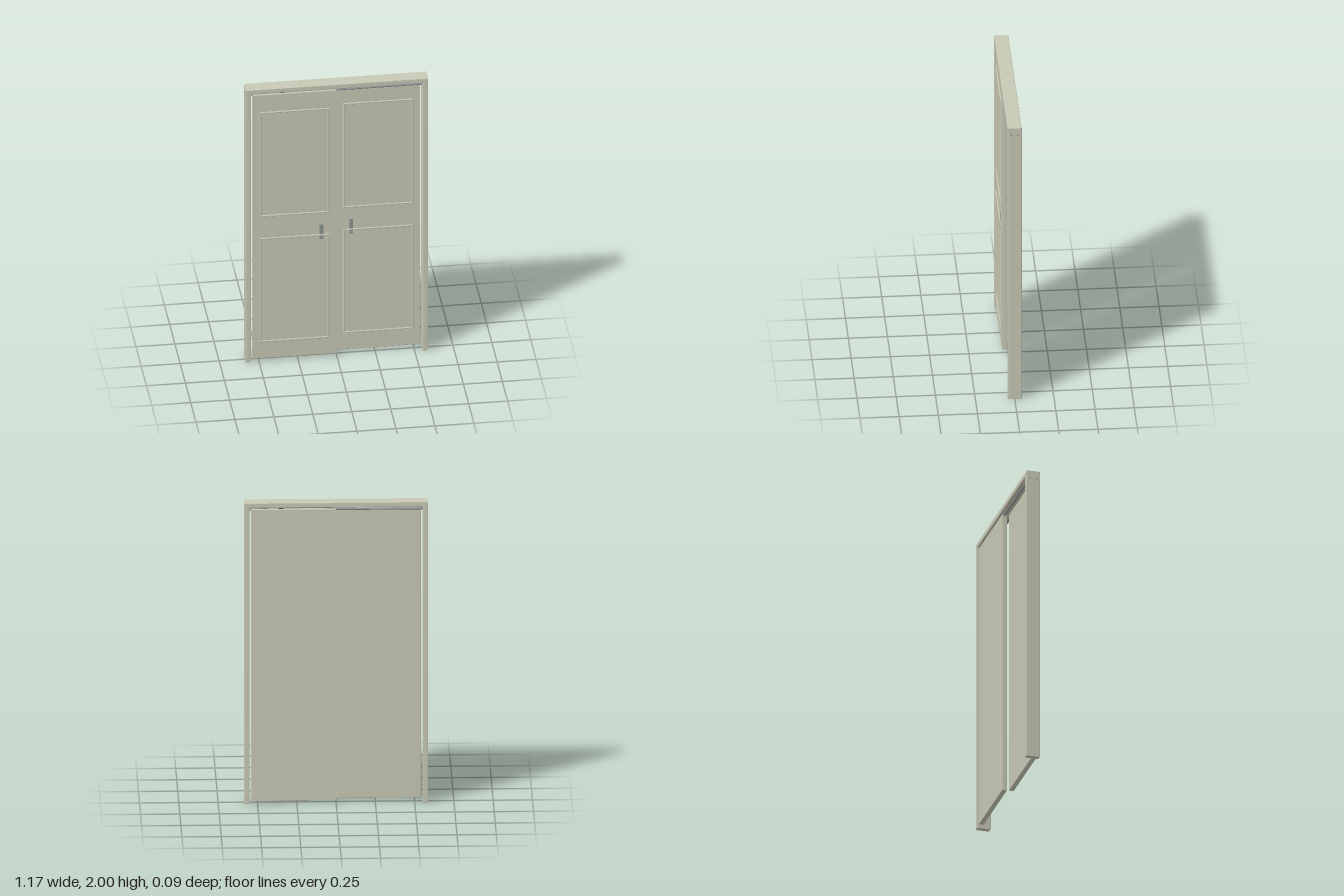
import * as THREE from 'three';
import { RoundedBoxGeometry } from 'three/addons/geometries/RoundedBoxGeometry.js';

const paint = new THREE.MeshStandardMaterial({ name: 'paint', color: 0xc8c8b5 });
const steel = new THREE.MeshStandardMaterial({ name: 'steel', color: 0x8b9292 });
const dark = new THREE.MeshStandardMaterial({ name: 'darkMetal', color: 0x4c5052 });

function add(parent, name, geometry, material, x = 0, y = 0, z = 0) {
  const mesh = new THREE.Mesh(geometry, material);
  mesh.name = name;
  mesh.position.set(x, y, z);
  parent.add(mesh);
  return mesh;
}

const box = (w, h, d) => new THREE.BoxGeometry(w, h, d);

function rectangle(target, x0, y0, x1, y1) {
  target.moveTo(x0, y0);
  target.lineTo(x1, y0);
  target.lineTo(x1, y1);
  target.lineTo(x0, y1);
  target.closePath();
  return target;
}

// Raised rectangular border with a bevelled front edge
function mouldingGeometry(w, h) {
  const t = 0.012, b = 0.003;
  const shape = rectangle(new THREE.Shape(), -w / 2 + b, -h / 2 + b, w / 2 - b, h / 2 - b);
  shape.holes.push(rectangle(new THREE.Path(),
    -w / 2 + t - b, -h / 2 + t - b, w / 2 - t + b, h / 2 - t + b));
  return new THREE.ExtrudeGeometry(shape, {
    depth: 0.003, bevelEnabled: true, bevelThickness: b, bevelSize: b, bevelSegments: 1,
  });
}

// One sliding leaf; side is -1 or +1 in x, z is the centre of its track
function createDoor(side, z, height) {
  const door = new THREE.Group();
  door.name = side < 0 ? 'rightDoor' : 'leftDoor';
  const bottom = 0.02, thick = 0.032, face = thick / 2;
  const width = 0.541;
  add(door, 'doorLeaf', new RoundedBoxGeometry(width, height, thick, 2, 0.003), paint,
    side * width / 2, bottom + height / 2, 0);

  // Upper and lower panel borders
  for (const [y0, y1] of [[0.14, 0.905], [1.06, 1.83]]) {
    add(door, 'panelMoulding', mouldingGeometry(0.45, y1 - y0), paint,
      side * 0.272, (y0 + y1) / 2, face);
  }

  // Flush pull plate with a small catch at its foot
  add(door, 'handlePlate', box(0.023, 0.105, 0.006), steel, side * 0.098, 0.923, face);
  add(door, 'handleCatch', box(0.023, 0.014, 0.014), steel, side * 0.098, 0.88, face);

  // Roller carriage above the leaf
  add(door, 'roller', box(0.03, 0.02, 0.012), dark, side * 0.35, 1.957, 0);
  door.position.z = z;
  return door;
}

export function createModel() {
  const model = new THREE.Group();
  model.name = 'slidingDoors';

  // Surrounding frame, open at the floor
  const frame = new THREE.Group();
  frame.name = 'frame';
  const b = 0.004, outer = 0.585 - b, inner = 0.55 + b;
  const outline = new THREE.Shape();
  [[-outer, b], [-inner, b], [-inner, 1.967 + b], [inner, 1.967 + b],
    [inner, b], [outer, b], [outer, 2 - b], [-outer, 2 - b]]
    .forEach(([x, y], i) => (i ? outline.lineTo(x, y) : outline.moveTo(x, y)));
  outline.closePath();
  const depth = 0.09;
  add(frame, 'doorFrame', new THREE.ExtrudeGeometry(outline, {
    depth: depth - 2 * b, bevelEnabled: true, bevelThickness: b, bevelSize: b, bevelSegments: 2,
  }), paint, 0, 0, -depth / 2 + b);
  model.add(frame);

  // Two parallel rails, their ends showing on the outside of the jambs
  for (const z of [-0.022, 0.022]) {
    const rail = add(model, 'rail', new THREE.CylinderGeometry(0.006, 0.006, 1.171, 12), steel, 0, 1.95, z);
    rail.rotation.z = Math.PI / 2;
  }

  model.add(createDoor(-1, 0.022, 1.935));
  model.add(createDoor(1, -0.022, 1.935));
  return model;
}
